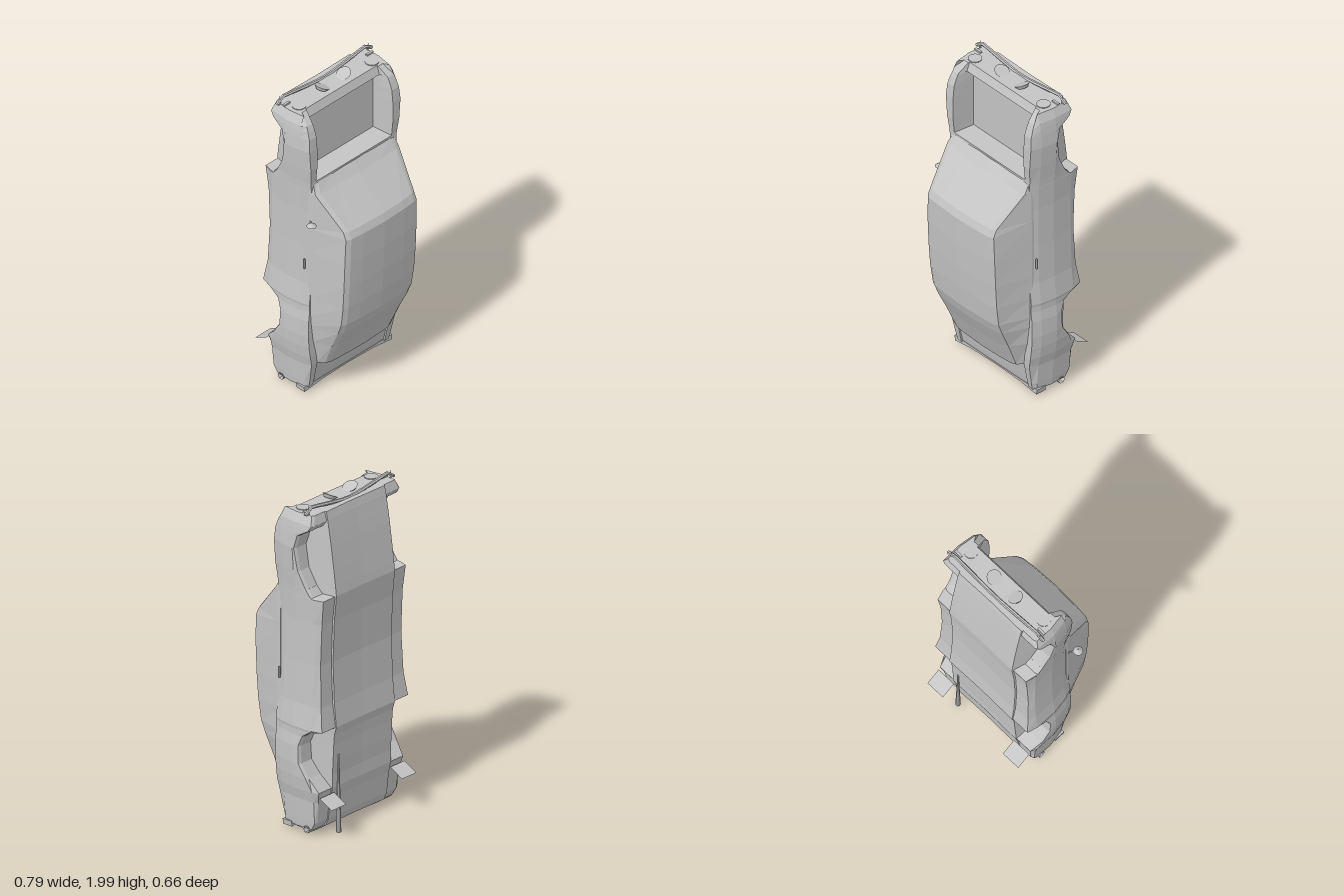
import * as THREE from 'three';

const paint = new THREE.MeshStandardMaterial({ color: 0xc4c4c4, flatShading: true, side: THREE.DoubleSide });
paint.name = 'bodyGrey';

// Mirror a half section [x, z] (from centre bottom to centre top) into a closed ring
function ring(half, y) {
  const other = half.slice(1, -1).reverse().map(([x, z]) => [-x, z]);
  return half.concat(other).map(([x, z]) => new THREE.Vector3(x, y, z));
}

// Skin a list of rings running up y, closing both ends
function loft(rings) {
  const pos = [];
  const tri = (a, b, c) => [a, b, c].forEach((p) => pos.push(p.x, p.y, p.z));
  const n = rings[0].length;
  for (let i = 0; i < rings.length - 1; i++) {
    for (let j = 0; j < n; j++) {
      const k = (j + 1) % n;
      tri(rings[i][j], rings[i + 1][j], rings[i][k]);
      tri(rings[i][k], rings[i + 1][j], rings[i + 1][k]);
    }
  }
  for (const [r, up] of [[rings[0], false], [rings[rings.length - 1], true]]) {
    const flat = r.map((p) => new THREE.Vector2(p.x, p.z));
    for (const [a, b, c] of THREE.ShapeUtils.triangulateShape(flat, [])) {
      const area = THREE.ShapeUtils.area([flat[a], flat[b], flat[c]]);
      if ((area < 0) === up) tri(r[a], r[b], r[c]);
      else tri(r[a], r[c], r[b]);
    }
  }
  const g = new THREE.BufferGeometry();
  g.setAttribute('position', new THREE.Float32BufferAttribute(pos, 3));
  g.computeVertexNormals();
  return g;
}

// Stations from tail to nose: y, half width, shoulder z, deck z, arch z, floor z
const bodyStations = [
  [0.045, 0.345, 0.045, 0.035, -0.18, -0.19],
  [0.09, 0.35, 0.055, 0.045, -0.205, -0.21],
  [0.22, 0.36, 0.08, 0.07, -0.22, -0.225],
  [0.285, 0.375, 0.085, 0.08, -0.235, -0.24],
  [0.36, 0.385, 0.085, 0.08, -0.17, -0.24],
  [0.44, 0.39, 0.085, 0.085, -0.12, -0.245],
  [0.545, 0.388, 0.085, 0.085, -0.115, -0.25],
  [0.61, 0.38, 0.085, 0.085, -0.14, -0.255],
  [0.645, 0.38, 0.085, 0.085, -0.19, -0.265],
  [0.66, 0.383, 0.085, 0.085, -0.265, -0.27],
  [0.80, 0.367, 0.085, 0.085, -0.245, -0.255],
  [1.05, 0.36, 0.085, 0.085, -0.235, -0.245],
  [1.30, 0.36, 0.085, 0.085, -0.245, -0.255],
  [1.45, 0.367, 0.085, 0.085, -0.262, -0.27],
  [1.455, 0.367, 0.085, 0.085, -0.19, -0.27],
  [1.50, 0.37, 0.085, 0.085, -0.155, -0.265],
  [1.501, 0.37, 0.085, -0.045, -0.155, -0.265],
  [1.60, 0.38, 0.095, -0.045, -0.106, -0.252],
  [1.735, 0.39, 0.095, -0.045, -0.085, -0.233],
  [1.815, 0.385, 0.088, -0.045, -0.106, -0.22],
  [1.86, 0.38, 0.072, -0.045, -0.18, -0.212],
  [1.89, 0.375, 0.058, -0.045, -0.2, -0.207],
  [1.892, 0.375, 0.056, 0.005, -0.2, -0.207],
  [1.945, 0.35, -0.005, -0.015, -0.185, -0.195],
];

function bodySection([y, w, top, deck, arch, floor]) {
  const rim = top - deck > 0.05 ? 0.295 : 0.28;
  return ring([
    // the wheel well's inner wall leans outwards as it rises
    [0, floor + 0.004], [0.245, floor], [0.245 + 0.3 * (arch - floor), arch], [w - 0.022, arch],
    [w - 0.004, Math.max(-0.2, arch + 0.008)], [w, -0.07], [w - 0.015, 0.03],
    [w - 0.035, top], [rim, top], [0.28, deck], [0, deck],
  ], y);
}

// Cabin stations: y, base half width, roof half width, roof edge z, roof centre z
const cabinStations = [
  [0.22, 0.285, 0.255, 0.115, 0.14],
  [0.38, 0.32, 0.265, 0.18, 0.208],
  [0.50, 0.335, 0.272, 0.235, 0.265],
  [0.57, 0.34, 0.275, 0.262, 0.29],
  [0.70, 0.34, 0.278, 0.28, 0.306],
  [0.85, 0.34, 0.28, 0.29, 0.318],
  [1.02, 0.34, 0.28, 0.297, 0.326],
  [1.19, 0.34, 0.275, 0.30, 0.328],
  [1.235, 0.34, 0.275, 0.28, 0.31],
  [1.43, 0.335, 0.325, 0.11, 0.133],
  [1.49, 0.32, 0.31, 0.078, 0.088],
];

function cabinSection([y, base, roof, edge, mid]) {
  return ring([
    [0, 0.06], [base, 0.06], [base, 0.075], [roof, edge],
    [roof - 0.03, (edge + mid) / 2], [0.16, mid - 0.006], [0, mid],
  ], y);
}

export function createModel() {
  const car = new THREE.Group();
  car.name = 'carBody';
  const add = (name, geometry, x = 0, y = 0, z = 0, rx = 0, rz = 0) => {
    const m = new THREE.Mesh(geometry, paint);
    m.name = name;
    m.position.set(x, y, z);
    m.rotation.set(rx, 0, rz);
    car.add(m);
  };
  const tube = (points, radius, sides = 6) => new THREE.TubeGeometry(
    new THREE.CatmullRomCurve3(points.map((p) => new THREE.Vector3(...p))), 12, radius, sides);

  add('bodyShell', loft(bodyStations.map(bodySection)));
  add('cabin', loft(cabinStations.map(cabinSection)));

  // Tail lip, notched towards the middle
  const lip = new THREE.Shape([[-0.34, 0.022], [-0.2, 0.04], [0, 0.046], [0.2, 0.04], [0.34, 0.022],
    [0.345, 0.055], [-0.345, 0.055]].map(([x, y]) => new THREE.Vector2(x, y)));
  add('tailLip', new THREE.ExtrudeGeometry(lip, { depth: 0.065, bevelEnabled: false }), 0, 0, -0.025);

  // Bumpers
  add('frontBumper', tube([[-0.37, 1.95, -0.15], [-0.34, 1.98, -0.15], [-0.2, 1.965, -0.15],
    [0, 1.942, -0.15], [0.2, 1.965, -0.15], [0.34, 1.98, -0.15], [0.37, 1.95, -0.15]], 0.011));
  add('rearBumper', tube([[-0.35, 0.04, -0.14], [-0.2, 0.038, -0.14], [0, 0.05, -0.14],
    [0.2, 0.038, -0.14], [0.35, 0.04, -0.14]], 0.022));

  for (const s of [-1, 1]) {
    // Lamps on the nose and tail
    add('headlight', new THREE.CylinderGeometry(0.04, 0.04, 0.02, 14), s * 0.285, 1.94, -0.06);
    add('fogLight', new THREE.CylinderGeometry(0.045, 0.03, 0.02, 14), s * 0.087, 1.953, -0.08, 0, s * 0.45);
    add('indicator', new THREE.BoxGeometry(0.05, 0.02, 0.014), s * 0.325, 1.945, -0.118);
    add('bumperTip', new THREE.ConeGeometry(0.012, 0.1, 5), s * 0.345, 1.95, -0.15);
    add('rearLight', new THREE.BoxGeometry(0.06, 0.02, 0.05), s * 0.29, 0.037, -0.07);
    // Handle and mud flap on each side
    add('doorHandle', new THREE.BoxGeometry(0.012, 0.065, 0.008), s * 0.358, 0.94, 0.055);
    add('mudFlap', new THREE.PlaneGeometry(0.12, 0.1), s * 0.295, 0.234, -0.288, Math.PI / 2 - 0.5);
  }

  // Wing mirror on a short stalk
  add('mirror', new THREE.ConeGeometry(0.029, 0.025, 12), -0.37, 1.262, 0.125);
  add('mirrorStalk', tube([[-0.335, 1.24, 0.08], [-0.352, 1.245, 0.105], [-0.37, 1.255, 0.125]], 0.005, 5));

  // Exhaust pipe
  add('exhaustPipe', new THREE.CylinderGeometry(0.004, 0.015, 0.47, 8), 0.2, 0.243, -0.247);
  return car;
}
